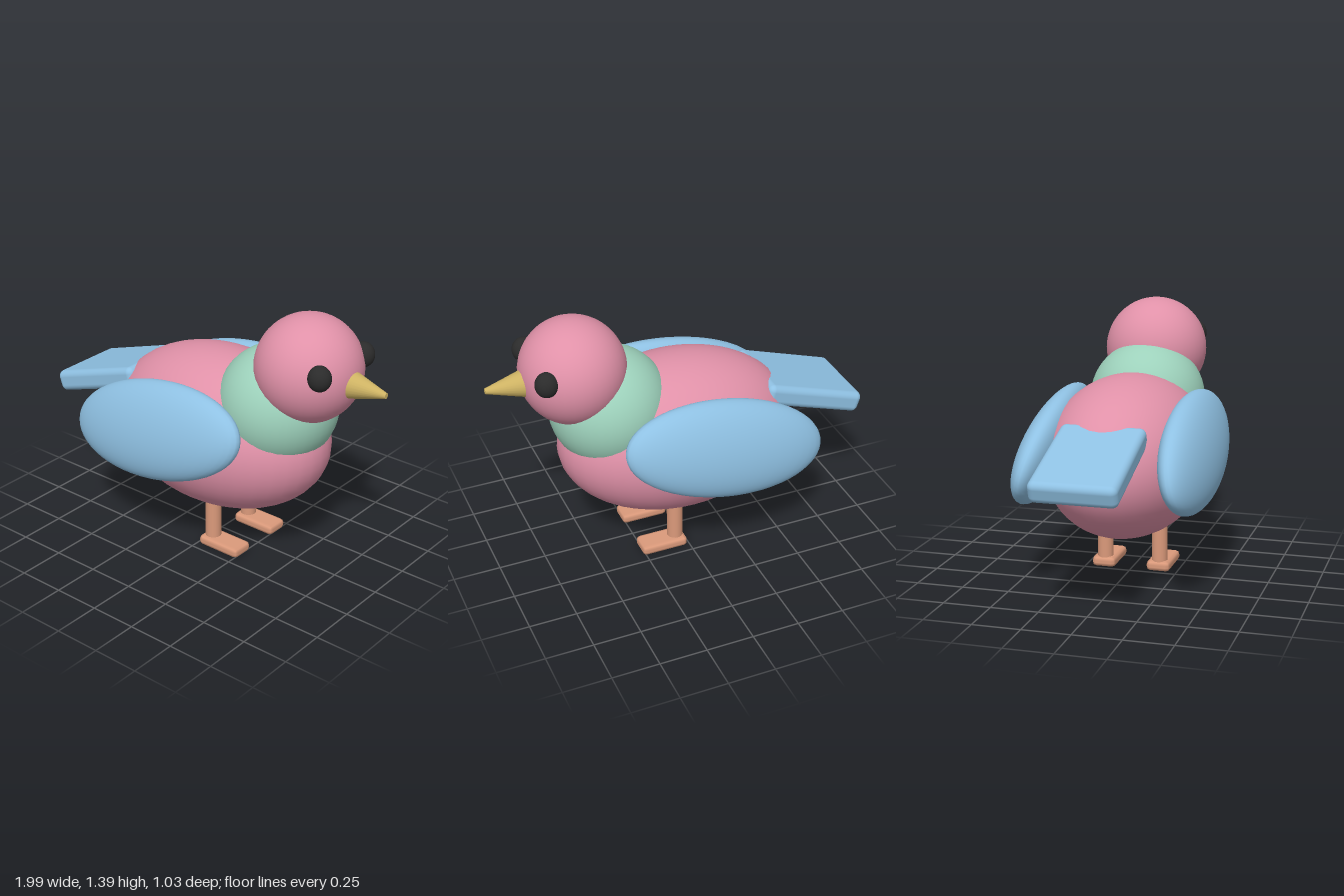
import * as THREE from 'three';
import { RoundedBoxGeometry } from 'three/addons/geometries/RoundedBoxGeometry.js';

const material = (name, color) => {
  const m = new THREE.MeshStandardMaterial({ color });
  m.name = name;
  return m;
};

export function createModel() {
  const pink = material('pink plumage', 0xe091a8);
  const green = material('green collar', 0x9dd1bb);
  const blue = material('blue feathers', 0x8fc1e3);
  const gold = material('gold beak', 0xcdb263);
  const orange = material('orange legs', 0xdb9a7b);
  const black = material('black eyes', 0x2b2b2b);

  const bird = new THREE.Group();
  bird.name = 'bird';

  const add = (name, geometry, mat, x, y, z) => {
    const mesh = new THREE.Mesh(geometry, mat);
    mesh.name = name;
    mesh.position.set(x, y, z);
    bird.add(mesh);
    return mesh;
  };
  const ellipsoid = (rx, ry, rz) => new THREE.SphereGeometry(1, 40, 28).scale(rx, ry, rz);

  // Body, collar and head overlap along the neck line
  add('body', ellipsoid(0.64, 0.422, 0.422), pink, 0, 0.637, 0);
  add('collar', ellipsoid(0.312, 0.312, 0.312), green, 0.365, 0.87, 0);
  add('head', ellipsoid(0.273, 0.275, 0.275), pink, 0.55, 1.12, 0);

  // Blunt-tipped beak pointing along +x
  const beak = add('beak', new THREE.CylinderGeometry(0.014, 0.074, 0.21, 24), gold, 0.895, 1.102, 0);
  beak.rotation.z = -Math.PI / 2;

  // Tail slab rising into the back of the body
  const tail = add('tail', new RoundedBoxGeometry(0.58, 0.115, 0.44, 4, 0.035), blue, -0.71, 0.75, 0);
  tail.rotation.z = 0.32;

  // Mirrored parts
  for (const [side, s] of [['Front', 1], ['Back', -1]]) {
    add('eye' + side, ellipsoid(0.06, 0.065, 0.057), black, 0.74, 1.18, s * 0.181);

    // Wings lean inward at the top and droop to the rear
    const wing = add('wing' + side, ellipsoid(0.55, 0.258, 0.12), blue, -0.12, 0.71, s * 0.38);
    wing.rotation.set(-s * 0.26, 0, 0.2, 'ZYX');

    add('leg' + side, new THREE.CylinderGeometry(0.042, 0.042, 0.3, 20), orange, 0.065, 0.18, s * 0.15);
    add('foot' + side, new RoundedBoxGeometry(0.255, 0.055, 0.128, 1, 0.022), orange, 0.14, 0.0275, s * 0.15);
  }
  return bird;
}
